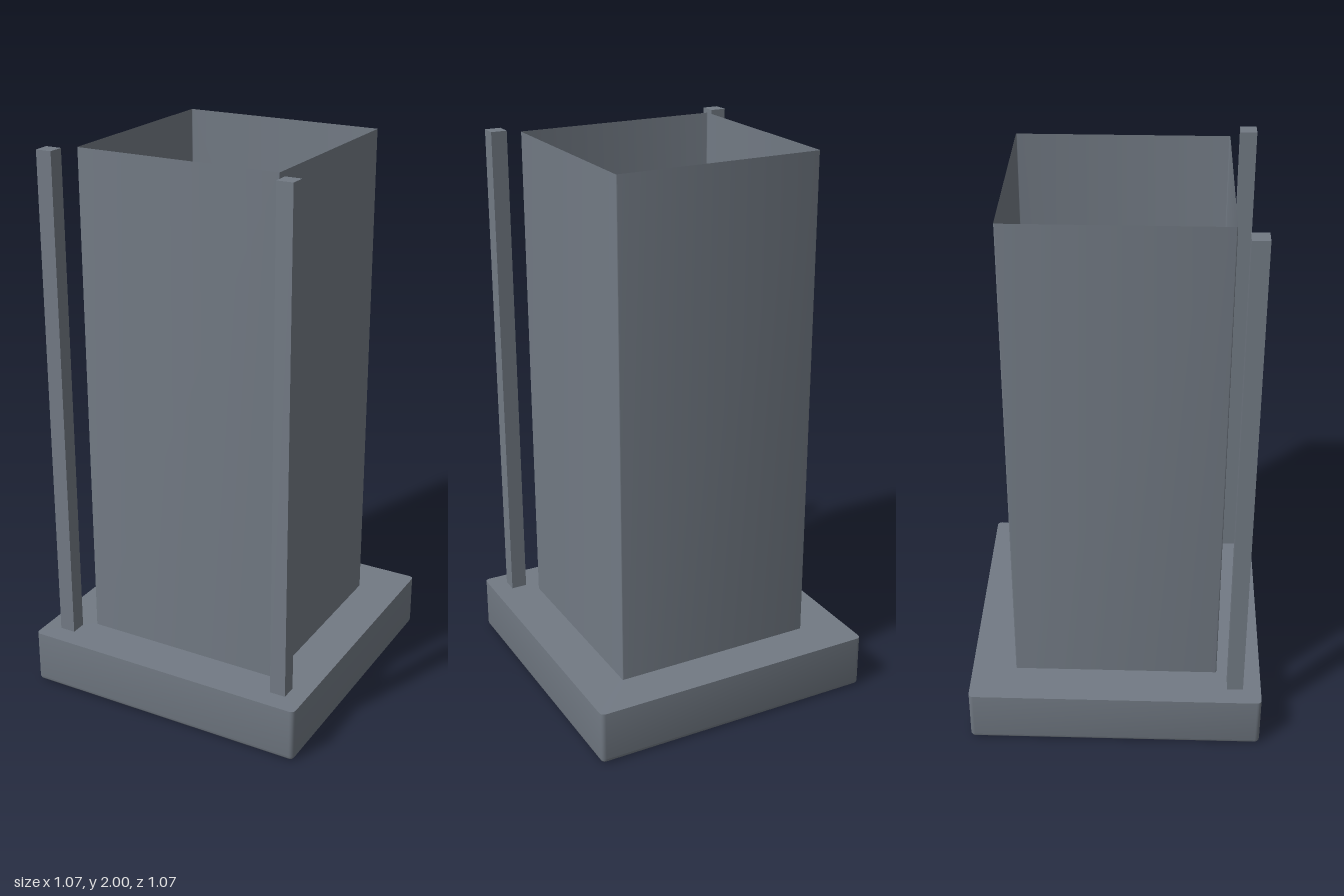
import * as THREE from 'three';
import { toCreasedNormals } from 'three/addons/utils/BufferGeometryUtils.js';

// Square outline with rounded corners, at half width h and height y
function ring([h, y, r]) {
  const points = [];
  for (let corner = 0; corner < 4; corner++) {
    const mid = (corner + 0.5) * Math.PI / 2;
    const cx = Math.sign(Math.cos(mid)) * (h - r);
    const cz = -Math.sign(Math.sin(mid)) * (h - r);
    for (let i = 0; i <= 4; i++) {
      const a = (corner + i / 4) * Math.PI / 2;
      points.push([cx + r * Math.cos(a), y, cz - r * Math.sin(a)]);
    }
  }
  return points;
}

// Skin joining a list of [halfWidth, y, cornerRadius] sections
function loft(sections) {
  const rings = sections.map(ring);
  const positions = [];
  for (let s = 0; s < rings.length - 1; s++) {
    const n = rings[s].length;
    for (let j = 0; j < n; j++) {
      const k = (j + 1) % n;
      const [a, b, c, d] = [rings[s][j], rings[s][k], rings[s + 1][k], rings[s + 1][j]];
      if (sections[s][0] > 0) positions.push(...a, ...b, ...c);
      if (sections[s + 1][0] > 0) positions.push(...a, ...c, ...d);
    }
  }
  const geometry = new THREE.BufferGeometry();
  geometry.setAttribute('position', new THREE.Float32BufferAttribute(positions, 3));
  return toCreasedNormals(geometry, Math.PI / 6);
}

export function createModel() {
  const model = new THREE.Group();
  model.name = 'columnOnPlinth';

  const slateGrey = new THREE.MeshStandardMaterial({ color: 0x727a84, side: THREE.DoubleSide });
  slateGrey.name = 'slateGrey';

  function add(name, geometry, x = 0, y = 0, z = 0) {
    const mesh = new THREE.Mesh(geometry, slateGrey);
    mesh.name = name;
    mesh.position.set(x, y, z);
    model.add(mesh);
  }

  // Base: hollow underneath, rounded bottom edge, flat top
  const half = 0.533, round = 0.017;
  const fillet = [];
  for (let i = 0; i <= 4; i++) {
    const a = i / 4 * Math.PI / 2;
    const inset = round * (1 - Math.sin(a));
    fillet.push([half - inset, round * (1 - Math.cos(a)), Math.max(round - inset, 0.001)]);
  }
  add('base', loft([
    [0, 0.1, 0], [0.418, 0.1, 0.005], [0.418, 0, 0.005],
    ...fillet,
    [half, 0.2, round], [0, 0.2, 0],
  ]));

  // Thin-walled square column, open at the top
  add('column', loft([[0.372, 0.2, 0.004], [0.372, 2, 0.004]]));

  // Two slim posts at the front corners
  for (const [name, side] of [['leftPost', 1], ['rightPost', -1]]) {
    add(name, new THREE.BoxGeometry(0.058, 1.795, 0.058), side * 0.438, 1.1025, 0.438);
  }

  return model;
}
